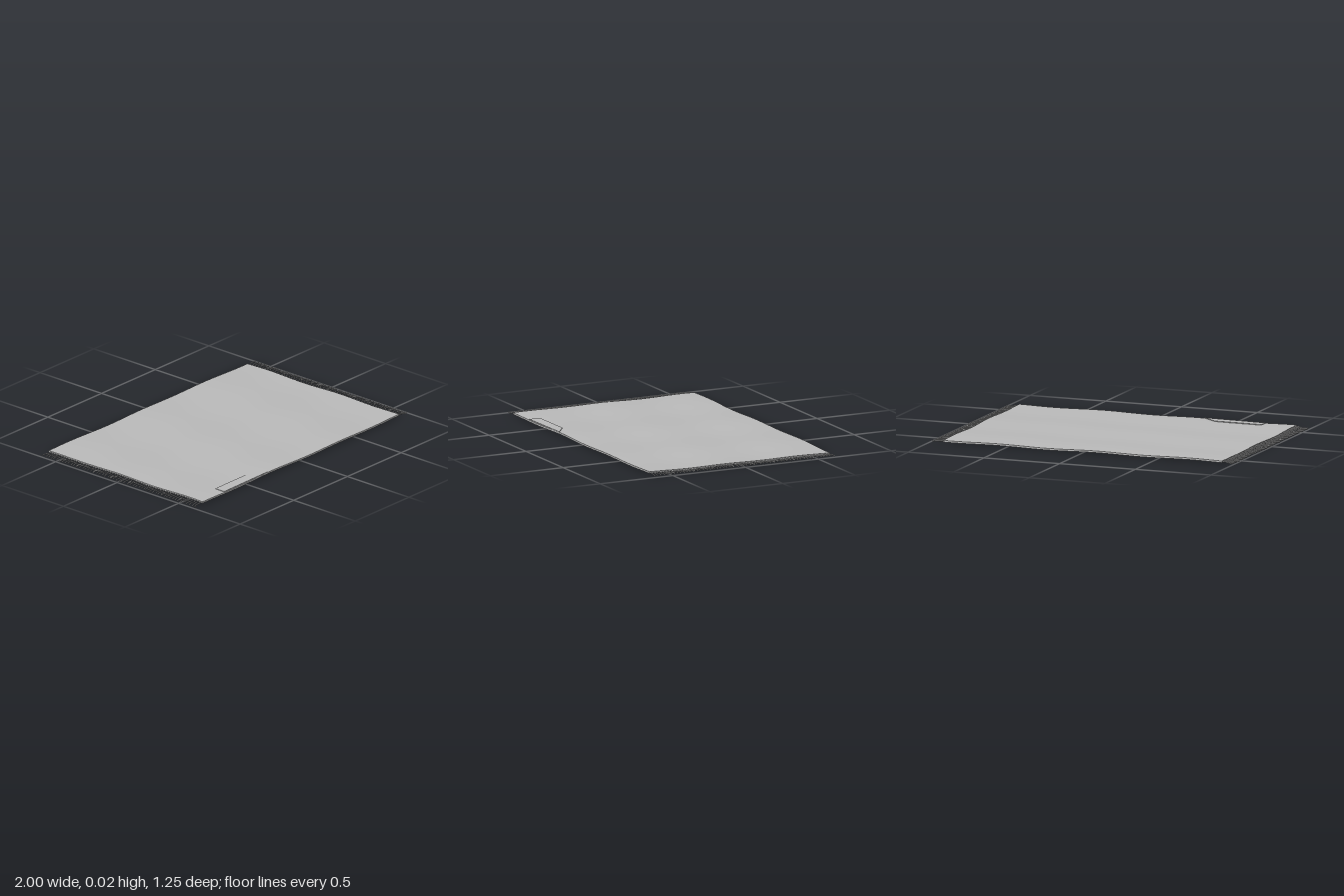
import * as THREE from 'three';
import { mergeGeometries } from 'three/addons/utils/BufferGeometryUtils.js';

const HALF_X = 0.92, HALF_Z = 0.621, THICK = 0.011;

// Gentle ripples of the cloth, from 0 to 0.009 above the floor
function ripple(x, z) {
  const a = Math.sin(x * 10 + z * 1.5 + 3.3), b = Math.cos(z * 12 - x * 0.8 - 0.6);
  return 0.0045 + 0.0025 * a + 0.002 * b;
}

function seeded(seed) {
  return () => (seed = (seed * 16807) % 2147483647) / 2147483647;
}

// Rippled cloth slab with slightly wavering edges
function clothGeometry() {
  const g = new THREE.BoxGeometry(2 * HALF_X, THICK, 2 * HALF_Z, 72, 1, 48);
  const p = g.attributes.position;
  for (let i = 0; i < p.count; i++) {
    const x = p.getX(i), z = p.getZ(i);
    p.setXYZ(i,
      x + 0.003 * Math.sin(z * 9) * (x / HALF_X),
      p.getY(i) + THICK / 2 + ripple(x, z),
      z + 0.003 * Math.sin(x * 5) * (z / HALF_Z));
  }
  g.computeVertexNormals();
  return g;
}

// Thin turned-over flap lying on the front edge
function flapGeometry() {
  const s = new THREE.Shape([[-0.71, -0.617], [-0.305, -0.617], [-0.4, -0.546], [-0.71, -0.546]]
    .map(([x, y]) => new THREE.Vector2(x, y)));
  const g = new THREE.ExtrudeGeometry(s, { depth: 0.004, bevelEnabled: false });
  g.rotateX(-Math.PI / 2);
  const p = g.attributes.position;
  for (let i = 0; i < p.count; i++) {
    p.setY(i, p.getY(i) + THICK + ripple(p.getX(i), p.getZ(i)) - 0.001);
  }
  g.computeVertexNormals();
  return g;
}

// Wavy yarn strands along one short end, bunched in groups of seven
function fringeGeometry(side, seed) {
  const rand = seeded(seed), strands = [], count = 63;
  for (let i = 0; i < count; i++) {
    const z = -0.608 + (1.216 * i) / (count - 1);
    const lean = ((i % 7) - 3) * 0.003 + (rand() - 0.5) * 0.008;
    const bend = 0.007 + rand() * 0.008;
    const length = 0.068 + rand() * 0.009;
    const y0 = 0.005 + ripple(side * HALF_X, z);
    const path = new THREE.CatmullRomCurve3([
      [-0.008, 0, y0],
      [0.25 * length, bend * 0.3, y0 * 0.8],
      [0.5 * length, -bend * 0.7 + lean * 0.5, 0.006],
      [0.8 * length, -bend * 0.3 + lean, 0.004],
      [length, lean + bend * 0.4, 0.005],
    ].map(([dx, dz, y]) => new THREE.Vector3(
      side * (HALF_X + dx), y, THREE.MathUtils.clamp(z + dz, -0.62, 0.615))));
    strands.push(new THREE.TubeGeometry(path, 10, 0.0035, 5, false));
  }
  return mergeGeometries(strands);
}

export function createModel() {
  const rug = new THREE.Group();
  rug.name = 'rug';
  const cloth = new THREE.MeshStandardMaterial({ color: 0xbcbcbc });
  cloth.name = 'grey cloth';

  const add = (name, geometry) => {
    const mesh = new THREE.Mesh(geometry, cloth);
    mesh.name = name;
    rug.add(mesh);
  };
  add('cloth', clothGeometry());
  add('foldedFlap', flapGeometry());
  add('leftFringe', fringeGeometry(1, 17));
  add('rightFringe', fringeGeometry(-1, 17));
  return rug;
}
